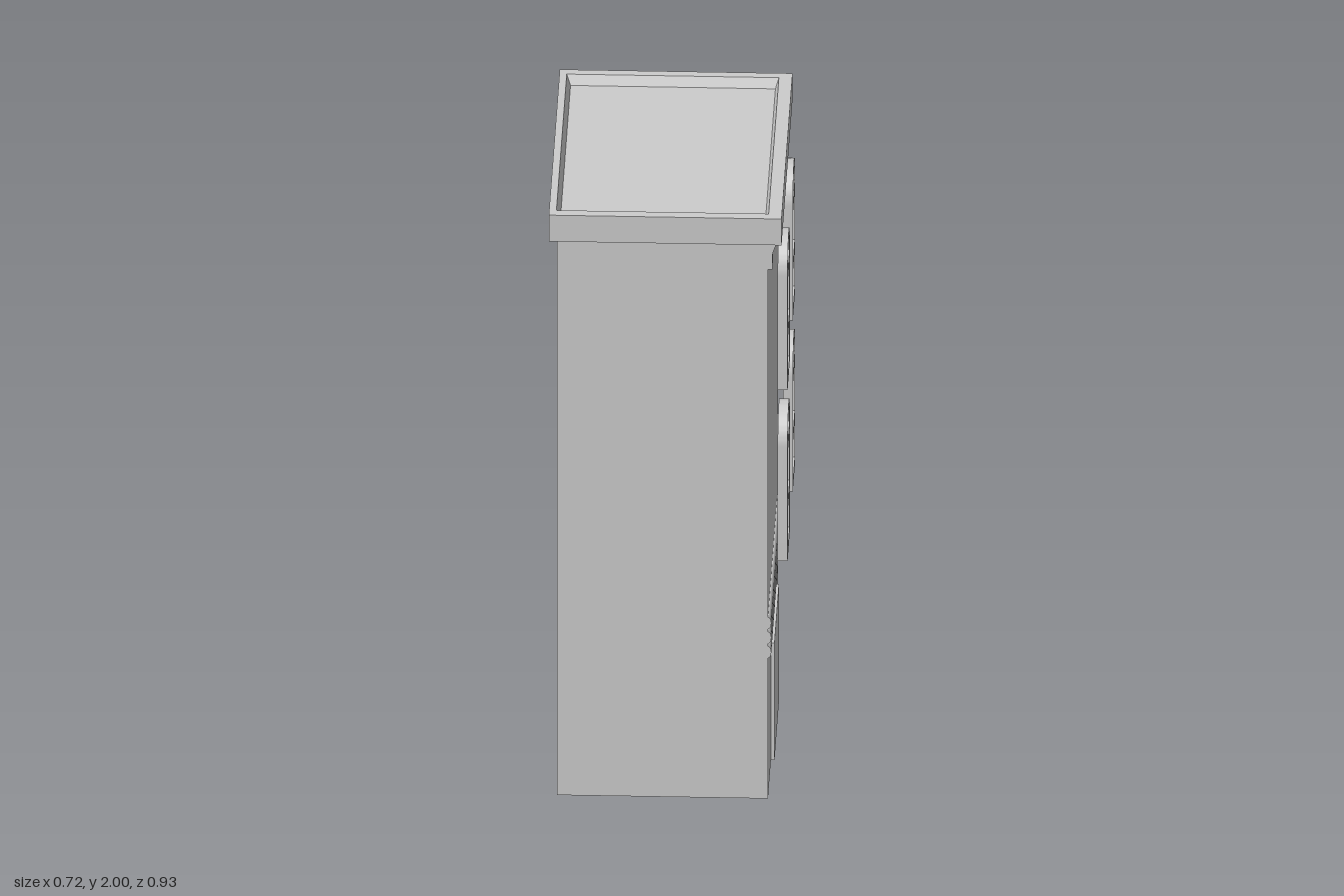
import * as THREE from 'three';
import { toCreasedNormals } from 'three/addons/utils/BufferGeometryUtils.js';

const material = new THREE.MeshStandardMaterial({ color: 0xcccccc, side: THREE.DoubleSide });
const WALL_X = 0.302, HALF_Z = 0.433;

function add(parent, name, geometry) {
  const mesh = new THREE.Mesh(geometry, material);
  mesh.name = name;
  parent.add(mesh);
  return mesh;
}

// Rectangular rings [x0, x1, y, z0, z1] joined in order, with optional lid on the last ring
function loft(rings, lid) {
  const corners = rings.map(([x0, x1, y, z0, z1]) =>
    [[x0, y, z1], [x1, y, z1], [x1, y, z0], [x0, y, z0]]);
  const pos = [];
  const quad = (a, b, c, d) => pos.push(...a, ...b, ...c, ...a, ...c, ...d);
  for (let i = 0; i < corners.length - 1; i++) {
    const lo = corners[i], hi = corners[i + 1];
    for (let k = 0; k < 4; k++) {
      const n = (k + 1) % 4;
      quad(lo[k], lo[n], hi[n], hi[k]);
    }
  }
  if (lid) quad(...corners[corners.length - 1]);
  const geometry = new THREE.BufferGeometry();
  geometry.setAttribute('position', new THREE.Float32BufferAttribute(pos, 3));
  geometry.computeVertexNormals();
  return geometry;
}

// Round-headed outline: straight sides up to the spring line, then a half circle
function archOutline(Type, half, bottom, spring) {
  const path = new Type();
  path.moveTo(-half, bottom);
  path.lineTo(half, bottom);
  path.lineTo(half, spring);
  path.absarc(0, spring, half, 0, Math.PI, false);
  path.closePath();
  return path;
}

function rectHole(half, y0, y1) {
  return new THREE.Path([[-half, y0], [half, y0], [half, y1], [-half, y1]]
    .map(([x, y]) => new THREE.Vector2(x, y)));
}

// Window frame with two sashes and a fanlight, facing +x
function windowGeometry() {
  const shape = archOutline(THREE.Shape, 0.1, 0, 0.389);
  shape.holes.push(
    rectHole(0.077, 0.022, 0.16),
    rectHole(0.077, 0.182, 0.359),
    archOutline(THREE.Path, 0.077, 0.385, 0.388));
  const geometry = new THREE.ExtrudeGeometry(shape, { depth: 0.03, bevelEnabled: false, curveSegments: 20 });
  geometry.rotateY(Math.PI / 2);
  return toCreasedNormals(geometry, 0.6);
}

export function createModel() {
  const group = new THREE.Group();
  group.name = 'townhouse';

  // Hollow walls, open underneath
  add(group, 'walls', loft([
    [-0.335, WALL_X, 0, -HALF_Z, HALF_Z],
    [-0.335, WALL_X, 1.91, -HALF_Z, HALF_Z],
  ], false));

  // Overhanging cornice with a sunken roof
  add(group, 'corniceAndRoof', loft([
    [-0.335, WALL_X, 1.91, -HALF_Z, HALF_Z],
    [-0.358, 0.344, 1.91, -0.465, 0.465],
    [-0.358, 0.344, 2, -0.465, 0.465],
    [-0.336, 0.304, 2, -0.436, 0.433],
    [-0.324, 0.294, 1.97, -0.42, 0.416],
  ], true));

  // Cornice brackets at both ends of the facade
  const profile = new THREE.Shape();
  profile.moveTo(WALL_X - 0.005, 1.81);
  profile.lineTo(0.315, 1.81);
  profile.lineTo(0.315, 1.857);
  profile.quadraticCurveTo(0.32, 1.885, 0.337, 1.91);
  profile.lineTo(WALL_X - 0.005, 1.91);
  profile.closePath();
  const bracket = toCreasedNormals(
    new THREE.ExtrudeGeometry(profile, { depth: 0.05, bevelEnabled: false, curveSegments: 6 }), 0.5);
  add(group, 'leftBracket', bracket).position.z = -HALF_Z;
  add(group, 'rightBracket', bracket).position.z = HALF_Z - 0.05;

  // Four windows standing proud of the wall
  const frame = windowGeometry();
  for (const y of [0.75, 1.335])
    for (const z of [0.215, -0.23])
      add(group, 'window', frame).position.set(0.327, y, z);

  // Three rounded string courses
  const course = new THREE.CylinderGeometry(0.02, 0.02, HALF_Z * 2, 16, 1, false, 0, Math.PI);
  course.rotateX(Math.PI / 2);
  course.scale(0.5, 1, 1);
  for (const y of [0.5, 0.55, 0.6])
    add(group, 'stringCourse', course).position.set(WALL_X, y, 0);

  // Door slab
  add(group, 'door', new THREE.BoxGeometry(0.03, 0.4, 0.376)).position.set(0.298, 0.2, -0.002);

  return group;
}
